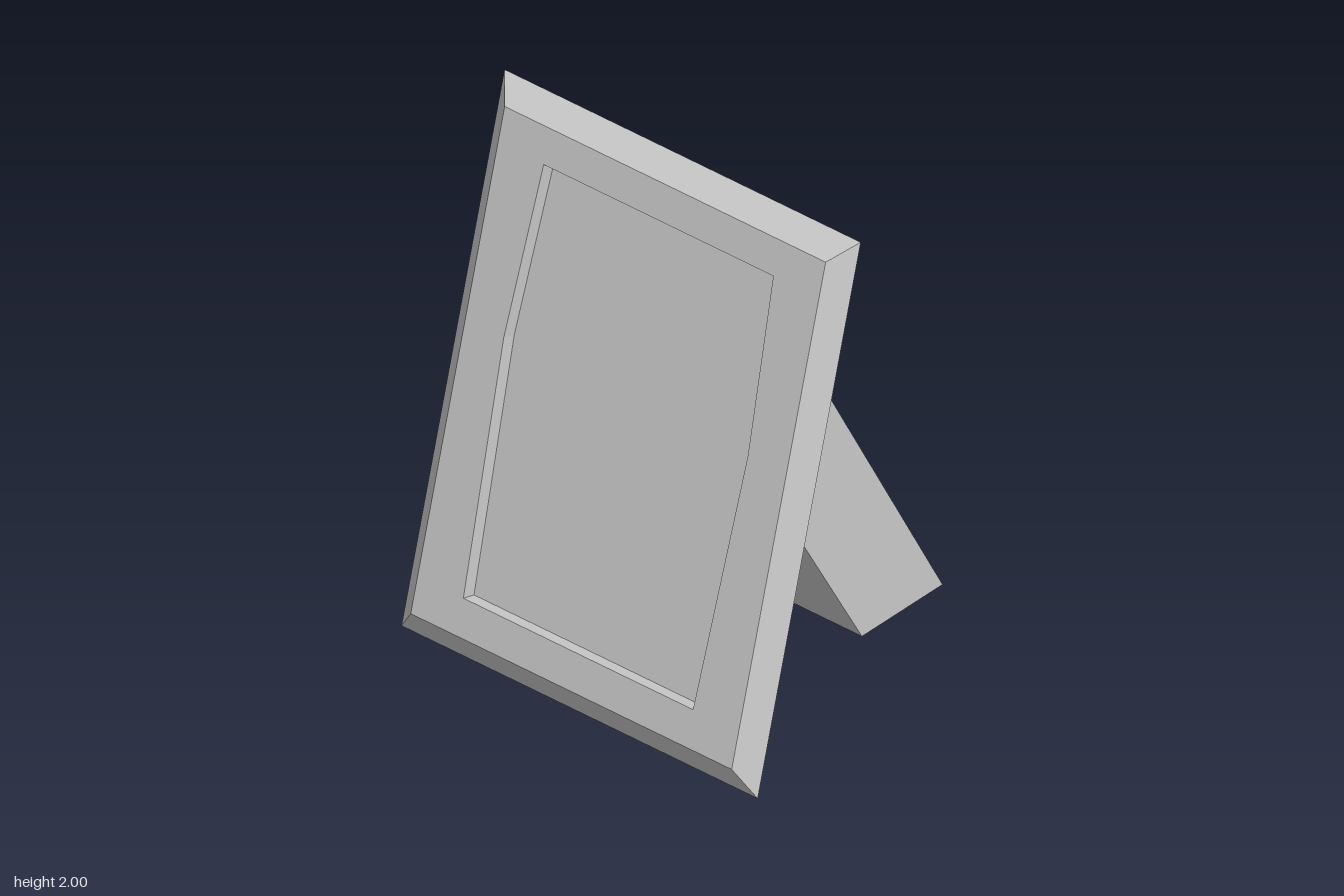
import * as THREE from 'three';

// Local frame of the leaning picture frame: x = width, y = height, z = facing direction
const HALF_W = 0.788, HALF_H = 1.02;
const FRONT = 0.068, FLOOR = 0.012, BULGE = -0.11;
const LEG_HALF = 0.395;

const rect = (w, h) => [[-w, -h], [w, -h], [w, h], [-w, h]];
const material = () => new THREE.MeshStandardMaterial({ color: 0xcccccc });

// Band between two matching counter-clockwise loops at two depths
function band(a, za, b, zb, smoothCap = false) {
  const n = a.length;
  const pos = [...a.map(p => [...p, za]), ...b.map(p => [...p, zb])].flat();
  const index = [];
  for (let i = 0; i < n; i++) {
    const j = (i + 1) % n;
    index.push(i, j, n + j, i, n + j, n + i);
  }
  if (smoothCap) for (let i = 1; i < n - 1; i++) index.push(0, i + 1, i);
  let g = new THREE.BufferGeometry();
  g.setAttribute('position', new THREE.Float32BufferAttribute(pos, 3));
  g.setIndex(index);
  if (!smoothCap) g = g.toNonIndexed();
  g.computeVertexNormals();
  return g;
}

const toShape = pts => new THREE.Shape(pts.map(p => new THREE.Vector2(...p)));

export function createModel() {
  const model = new THREE.Group();
  model.name = 'pictureFrame';
  const add = (name, geometry) => {
    const mesh = new THREE.Mesh(geometry, material());
    mesh.name = name;
    model.add(mesh);
    return mesh;
  };

  const outer = rect(HALF_W, HALF_H);
  const inner = rect(0.71, 0.93);
  const plateau = rect(0.4, 0.618);
  // Opening with slightly bowed long sides
  const opening = [[-0.508, -0.792], [0.508, -0.792], [0.54, 0.15],
    [0.508, 0.798], [-0.508, 0.798], [-0.54, 0.15]];

  // Bevelled rim and front border
  add('frameRim', band(outer, 0, inner, FRONT));
  const border = toShape(inner);
  border.holes.push(new THREE.Path(opening.map(p => new THREE.Vector2(...p))));
  add('frontBorder', new THREE.ShapeGeometry(border)).position.z = FRONT;

  // Recessed picture
  add('recessWalls', band(opening, FRONT, opening, FLOOR));
  add('picturePanel', new THREE.ShapeGeometry(toShape(opening))).position.z = FLOOR;

  // Shallow raised back, smoothly shaded
  add('backPanel', band(plateau, BULGE, outer, 0, true));

  // Slanted support leg: side profile (distance behind, height) extruded across the width
  const profile = [[0.11, 0.618], [0.11, 0.063], [0.954, -0.786], [1.35, -0.68]];
  const leg = new THREE.ExtrudeGeometry(toShape(profile), { depth: LEG_HALF * 2, bevelEnabled: false });
  leg.translate(0, 0, -LEG_HALF).rotateY(Math.PI / 2);
  add('supportLeg', leg);

  // Lean and turn the whole object
  const u = new THREE.Vector3(0.23, -0.015, 1.56).normalize();
  const n = u.clone().cross(new THREE.Vector3(0.5, 1.98, -0.06)).normalize();
  const v = n.clone().cross(u);
  model.quaternion.setFromRotationMatrix(new THREE.Matrix4().makeBasis(u, v, n));
  model.position.set(-0.395, 1.002, 0);

  const root = new THREE.Group();
  root.add(model);
  return root;
}
